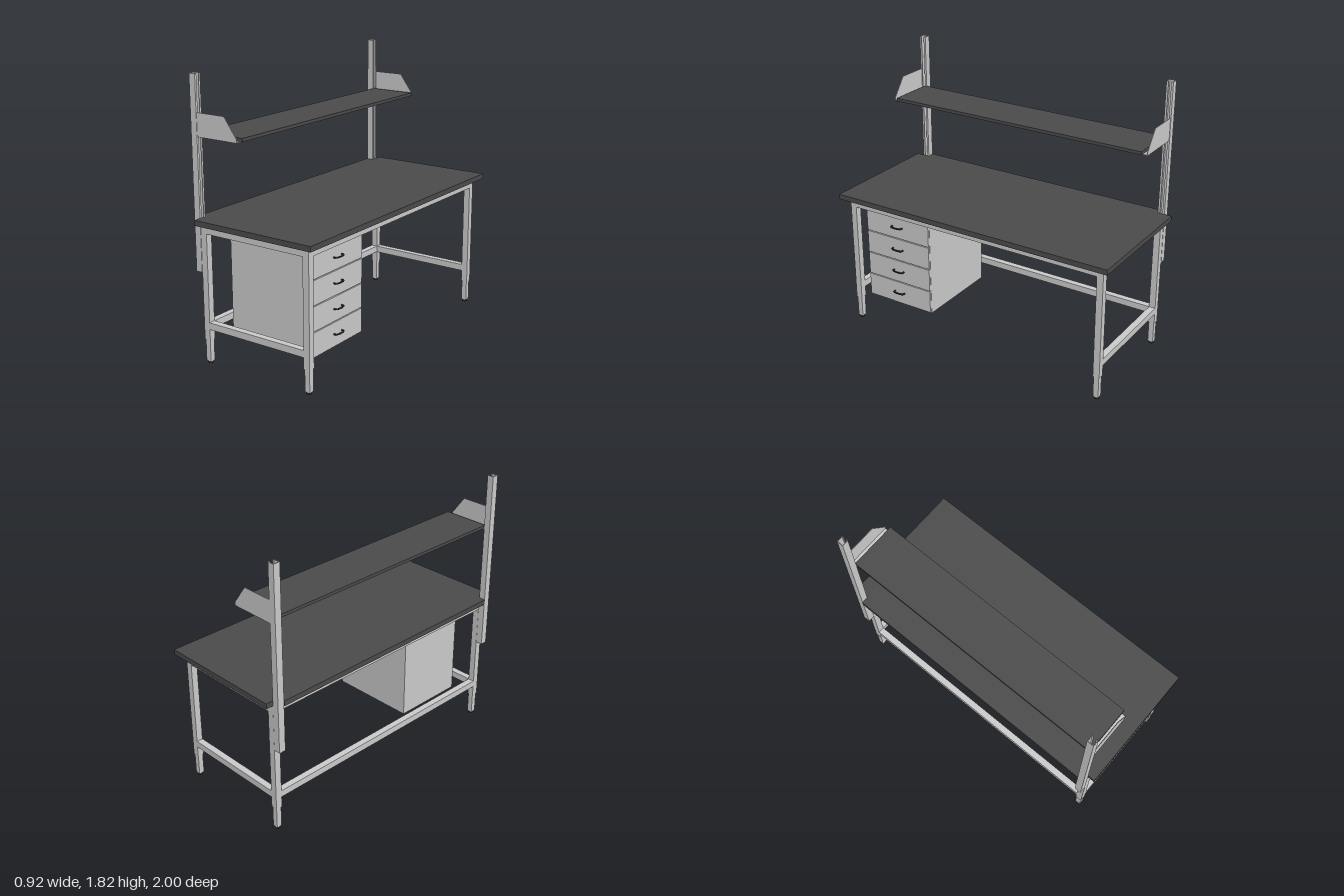
import * as THREE from 'three';

export function createModel() {
  const model = new THREE.Group();
  const mat = (name, color) => {
    const m = new THREE.MeshStandardMaterial({ color });
    m.name = name;
    return m;
  };
  const grey = mat('light grey steel', 0xc9c9c9);
  const dark = mat('dark grey laminate', 0x4a4a4a);
  const black = mat('black plastic', 0x262626);

  const add = (name, geo, material) => {
    const mesh = new THREE.Mesh(geo, material);
    mesh.name = name;
    model.add(mesh);
    return mesh;
  };
  // Box given by its limits on each axis
  const box = (name, [x0, x1], [y0, y1], [z0, z1], material = grey) =>
    add(name, new THREE.BoxGeometry(Math.abs(x1 - x0), y1 - y0, Math.abs(z1 - z0))
      .translate((x0 + x1) / 2, (y0 + y1) / 2, (z0 + z1) / 2), material);
  const polygon = pts => new THREE.Shape(pts.map(p => new THREE.Vector2(...p)));
  // Plan outline in x, z extruded from y0 up to y1
  const prism = (name, pts, y0, y1, material) =>
    add(name, new THREE.ExtrudeGeometry(polygon(pts), { depth: y1 - y0, bevelEnabled: false })
      .rotateX(Math.PI / 2).translate(0, y1, 0), material);

  // Worktop with its back corners cut away for the uprights
  prism('worktop', [[-0.46, -0.905], [-0.412, -0.905], [-0.412, -1], [0.46, -1],
    [0.46, 1], [-0.412, 1], [-0.412, 0.905], [-0.46, 0.905]], 0.907, 0.942, dark);

  // Long aprons and the back stretcher
  box('frontApron', [0.363, 0.407], [0.85, 0.907], [-0.906, 0.906]);
  box('backApron', [-0.41, -0.366], [0.85, 0.907], [-0.906, 0.906]);
  box('backStretcher', [-0.41, -0.366], [0.232, 0.277], [-0.906, 0.906]);

  for (const s of [-1, 1]) {
    const legZ = [s * 0.906, s * 0.95];

    // Legs with telescoping ends and feet
    for (const x of [-0.388, 0.385]) {
      box('leg', [x - 0.022, x + 0.022], [0.16, 0.907], legZ);
      box('legExtension', [x - 0.018, x + 0.018], [0.015, 0.16], [s * 0.91, s * 0.946]);
      add('foot', new THREE.CylinderGeometry(0.016, 0.016, 0.015, 20)
        .translate(x, 0.0075, s * 0.928), black);
    }

    // End rails
    box('sideApron', [-0.366, 0.363], [0.85, 0.907], legZ);
    box('sideStretcher', [-0.366, 0.363], [0.232, 0.277], legZ);

    // Slotted channel upright, open to the front
    const t = 0.004, a = 0.023, g = 0.009, xb = -0.457, xf = -0.412;
    const channel = [[xf, g], [xf, a], [xb, a], [xb, -a], [xf, -a], [xf, -g],
      [xf - t, -g], [xf - t, t - a], [xb + t, t - a], [xb + t, a - t], [xf - t, a - t], [xf - t, g]];
    prism('upright', channel.map(([x, z]) => [x, z + s * 0.928]), 0.597, 1.82, grey);

    // Shelf bracket: outer plate and inward flange
    const plate = polygon([[-0.412, 1.443], [-0.107, 1.443], [-0.107, 1.465],
      [-0.2, 1.59], [-0.412, 1.59]]);
    add('shelfBracket', new THREE.ExtrudeGeometry(plate, { depth: 0.004, bevelEnabled: false })
      .translate(0, 0, s * 0.946 - 0.002), grey);
    box('bracketFlange', [-0.412, -0.107], [1.443, 1.449], [s * 0.9, s * 0.946]);
  }

  // Upper shelf
  box('shelf', [-0.41, -0.088], [1.449, 1.47], [-0.918, 0.918], dark);

  // Drawer cabinet
  box('cabinet', [-0.255, 0.347], [0.183, 0.85], [0.35, 0.858]);
  const handlePath = new THREE.CatmullRomCurve3([
    [0.358, 0.565], [0.376, 0.568], [0.383, 0.585], [0.383, 0.625], [0.376, 0.642], [0.358, 0.645],
  ].map(([x, z]) => new THREE.Vector3(x, 0, z)));
  for (let i = 0; i < 4; i++) {
    const y = 0.192 + i * 0.1625;
    box('drawerFront', [0.347, 0.36], [y, y + 0.156], [0.352, 0.856]);
    add('drawerHandle', new THREE.TubeGeometry(handlePath, 24, 0.0055, 8), black)
      .position.y = y + 0.081;
  }
  return model;
}
